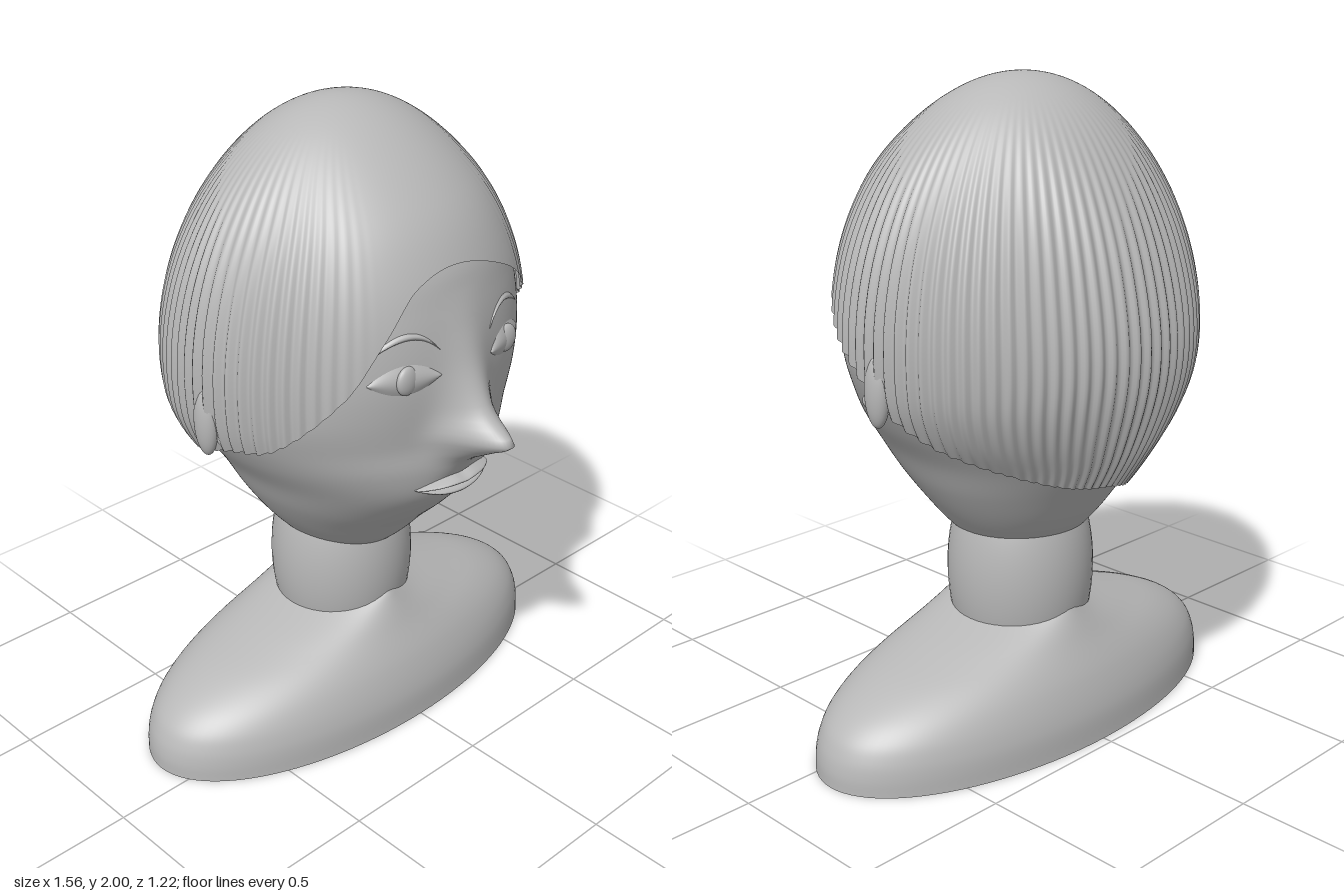
import * as THREE from 'three';

const clay = new THREE.MeshStandardMaterial({ color: 0xb8b8b8, side: THREE.DoubleSide });
clay.name = 'clay grey';

// Smooth interpolation through [position, value] pairs in ascending order
function smooth(pts, x) {
  const n = pts.length - 1;
  if (x <= pts[0][0]) return pts[0][1];
  if (x >= pts[n][0]) return pts[n][1];
  let i = 0;
  while (x > pts[i + 1][0]) i++;
  const slope = (k) => {
    const a = pts[Math.max(k - 1, 0)], b = pts[Math.min(k + 1, n)];
    return (b[1] - a[1]) / (b[0] - a[0]);
  };
  const h = pts[i + 1][0] - pts[i][0], t = (x - pts[i][0]) / h;
  const t2 = t * t, t3 = t2 * t;
  return (2 * t3 - 3 * t2 + 1) * pts[i][1] + (t3 - 2 * t2 + t) * h * slope(i)
    + (3 * t2 - 2 * t3) * pts[i + 1][1] + (t3 - t2) * h * slope(i + 1);
}

// Surface from a rule fn(u, v) -> [x, y, z]; u runs to the right, v downwards
function surface(name, nu, nv, fn, wrap = false) {
  const pos = [], idx = [], cols = wrap ? nu : nu + 1;
  for (let j = 0; j <= nv; j++)
    for (let i = 0; i < cols; i++) pos.push(...fn(i / nu, j / nv));
  for (let j = 0; j < nv; j++)
    for (let i = 0; i < nu; i++) {
      const a = j * cols + i, b = j * cols + (i + 1) % cols;
      idx.push(a, a + cols, b, b, a + cols, b + cols);
    }
  const g = new THREE.BufferGeometry();
  g.setAttribute('position', new THREE.Float32BufferAttribute(pos, 3));
  g.setIndex(idx);
  g.computeVertexNormals();
  return named(name, g);
}

function named(name, geometry) {
  const m = new THREE.Mesh(geometry, clay);
  m.name = name;
  return m;
}

function ball(name, x, y, z, rx, ry, rz, seg = 32) {
  const m = named(name, new THREE.SphereGeometry(1, seg, seg * 0.75));
  m.position.set(x, y, z);
  m.scale.set(rx, ry, rz);
  return m;
}

// Egg proportions by height: half width, depth forward and depth backward
const MID = 1.26, RY = 0.74, ZC = -0.1;
const headSide = [[0.52, 0.36], [0.63, 0.39], [0.8, 0.427], [0.9, 0.446], [1, 0.49], [1.1, 0.525], [1.2, 0.545], [1.45, 0.55], [2, 0.53]];
const headFront = [[0.52, 0.45], [0.7, 0.46], [0.8, 0.51], [0.9, 0.55], [1, 0.54], [1.1, 0.515], [1.3, 0.52], [1.5, 0.53], [1.62, 0.54], [1.77, 0.52], [2, 0.44]];
const headBack = [[0.52, 0.36], [0.7, 0.4], [0.8, 0.42], [0.95, 0.465], [1.2, 0.49], [1.5, 0.47], [2, 0.45]];
const hairSide = [[0.75, 0.44], [0.9, 0.48], [1, 0.535], [1.1, 0.565], [1.2, 0.57], [1.6, 0.563], [2, 0.55]];
const hairFront = [[0.9, 0.57], [1.1, 0.55], [1.3, 0.545], [1.62, 0.552], [1.77, 0.54], [2, 0.46]];
const hairBack = [[0.75, 0.44], [0.87, 0.47], [0.95, 0.485], [1.2, 0.507], [1.5, 0.49], [1.8, 0.468], [2, 0.46]];

// Nose height along the face
const nose = [[0.96, 0], [1.03, 0.045], [1.08, 0.13], [1.125, 0.2], [1.16, 0.155], [1.2, 0.1], [1.3, 0.045], [1.42, 0.015], [1.55, 0]];
const noseAt = (x, y) => smooth(nose, y) * Math.exp(-((x / 0.08) ** 2));

function faceZ(x, y) {
  const s = Math.sqrt(1 - ((y - MID) / RY) ** 2);
  const a = s * smooth(headSide, y), f = s * smooth(headFront, y);
  return ZC + f * Math.sqrt(Math.max(0, 1 - (x / a) ** 2)) + noseAt(x, y);
}

// Thin bulging patch on the face between a lower and an upper edge
function facePatch(name, x0, x1, low, high, bulge, nu = 28, nv = 8) {
  return surface(name, nu, nv, (u, v) => {
    const k = 2 * u - 1, x = x0 + (x1 - x0) * u;
    const y = high(k) + (low(k) - high(k)) * v;
    const lift = bulge * Math.sin(Math.PI * v) * Math.sqrt(Math.max(0, 1 - k * k));
    return [x, y, faceZ(x, y) + lift + 0.001];
  });
}

// Hair hem height around the head, angle 0 at the front, positive to the left
const hem = [[-3.632, 0.865], [-3.14, 0.825], [-2.62, 0.79], [-2.3, 0.86], [-1.9, 0.97], [-1.4, 1.075], [-1.09, 1.12],
  [-0.706, 1.3], [-0.517, 1.45], [-0.32, 1.58], [0, 1.62], [0.42, 1.55], [0.76, 1.43], [1.16, 1.27],
  [1.39, 1.19], [1.66, 1.07], [2, 0.97], [2.65, 0.865], [3.143, 0.825]];

export function createModel() {
  const model = new THREE.Group();
  model.name = 'bust';

  // Head with the nose drawn out of it; columns are denser at the front
  model.add(surface('head', 240, 120, (u, v) => {
    const w = u * Math.PI * 2;
    const phi = w - 0.5 * Math.sin(w);
    const c = Math.cos(v * Math.PI), s = Math.sin(v * Math.PI);
    const y = MID + c * (c > 0 ? RY - 0.012 : RY);
    const x = s * smooth(headSide, y) * Math.sin(phi), k = Math.cos(phi);
    const z = ZC + s * k * smooth(k > 0 ? headFront : headBack, y) + (k > 0 ? noseAt(x, y) : 0);
    return [x, y, z];
  }, true));

  // Hair shell: fine combed ridges fading out at the crown and forehead
  model.add(surface('hair', 480, 48, (u, v) => {
    const phi = (u * 2 - 1) * Math.PI, k = Math.cos(phi);
    const t = v * Math.acos((smooth(hem, phi) - MID) / RY);
    const y = MID + RY * Math.cos(t), s = Math.sin(t);
    const fade = THREE.MathUtils.smoothstep(Math.abs(phi), 0.5, 1.1) * THREE.MathUtils.smoothstep(t, 0.3, 1.3);
    const r = s * (1 + 0.013 * fade * Math.cos(80 * phi));
    return [r * smooth(hairSide, y) * Math.sin(phi), y, ZC + r * k * smooth(k > 0 ? hairFront : hairBack, y)];
  }, true));

  // Neck
  model.add(ball('neck', 0, 0.48, -0.107, 0.23, 0.41, 0.227, 48));

  // Hollow shoulders, elliptical in plan and open underneath
  const wide = [[0, 0.78], [0.05, 0.778], [0.1, 0.765], [0.15, 0.735], [0.2, 0.67], [0.25, 0.56], [0.3, 0.4], [0.35, 0.235], [0.4, 0.09], [0.42, 0]];
  const deep = [[0, 0.37], [0.1, 0.362], [0.2, 0.33], [0.3, 0.277], [0.4, 0.222], [0.42, 0.2]];
  model.add(surface('shoulders', 96, 42, (u, v) => {
    const phi = u * Math.PI * 2, y = 0.42 * (1 - v);
    return [smooth(wide, y) * Math.sin(phi), y, ZC + smooth(deep, y) * Math.cos(phi)];
  }, true));

  // Lips
  model.add(facePatch('upperLip', -0.15, 0.15, (k) => 0.945 - 0.006 * (1 - k * k),
    (k) => 0.945 + 0.028 * (1 - k * k) - 0.006 * Math.exp(-k * k * 40), 0.042));
  model.add(facePatch('lowerLip', -0.15, 0.15, (k) => 0.945 - 0.046 * (1 - k * k),
    (k) => 0.945 - 0.006 * (1 - k * k), 0.038));

  // Paired features
  for (const [side, m] of [['left', 1], ['right', -1]]) {
    const c = 0.205 * m, y = 1.325;
    model.add(facePatch(side + 'Eye', c - 0.105, c + 0.105, (k) => y - 0.042 * (1 - k * k),
      (k) => y + 0.048 * (1 - k * k), 0.014));
    model.add(ball(side + 'Iris', c, y + 0.003, faceZ(c, y) + 0.004, 0.038, 0.044, 0.018, 24));
    // Eyebrow arch, thicker in the middle
    const arch = (k) => 1.395 + 0.068 * (1 - k * k) - 0.012 * k * m * (1 - k * k);
    model.add(facePatch(side + 'Brow', c - 0.107, c + 0.107, (k) => arch(k) - 0.02 * (1 - k * k), arch, 0.008, 28, 4));
    model.add(ball(side + 'Ear', 0.55 * m, 1.15, -0.08, 0.032, 0.108, 0.043));
    model.add(ball(side + 'Earring', 0.53 * m, 1.11, -0.025, 0.024, 0.024, 0.02, 20));
  }
  return model;
}
